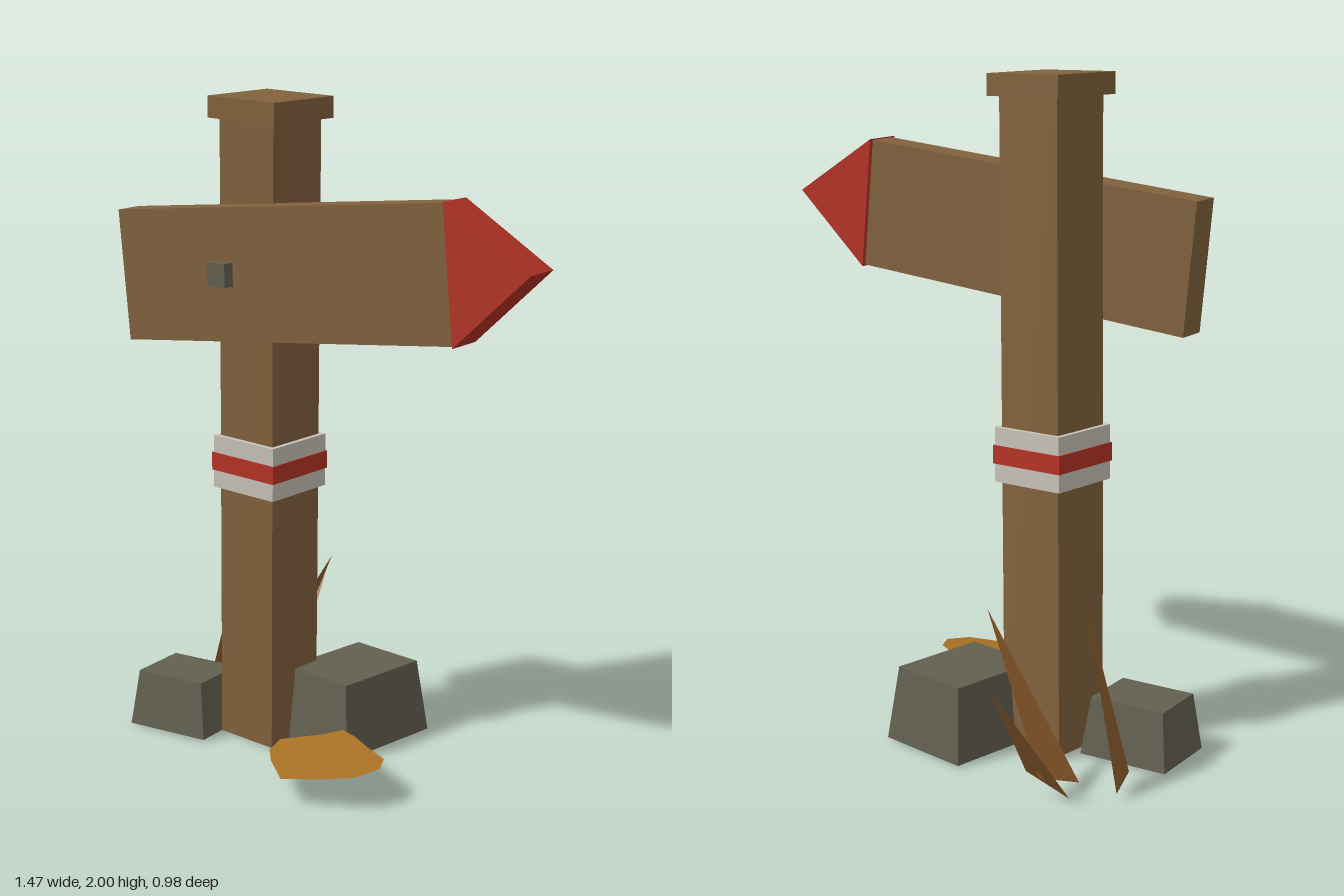
import * as THREE from 'three';

const mat = (name, color, side = THREE.FrontSide) => {
  const m = new THREE.MeshStandardMaterial({ color, side, flatShading: true });
  m.name = name;
  return m;
};

export function createModel() {
  const wood = mat('wood', 0x82623d);
  const red = mat('red paint', 0xb53325);
  const white = mat('white paint', 0xc8c3b9);
  const stone = mat('stone', 0x626050, THREE.DoubleSide);
  const leafGold = mat('leaf gold', 0xa87124, THREE.DoubleSide);
  const dryGrass = mat('dry grass', 0x8f5c2e, THREE.DoubleSide);

  const model = new THREE.Group();
  model.name = 'signpost';

  const add = (parent, name, geometry, material, x = 0, y = 0, z = 0) => {
    const mesh = new THREE.Mesh(geometry, material);
    mesh.name = name;
    mesh.position.set(x, y, z);
    parent.add(mesh);
    return mesh;
  };
  const box = (w, h, d) => new THREE.BoxGeometry(w, h, d);

  // Single flat surface fanned out from its first corner
  const fan = (points) => {
    const g = new THREE.BufferGeometry();
    g.setAttribute('position', new THREE.Float32BufferAttribute(points.flat(), 3));
    const index = [];
    for (let i = 1; i < points.length - 1; i++) index.push(0, i + 1, i);
    g.setIndex(index);
    g.computeVertexNormals();
    return g;
  };

  // Leaning post with cap and painted bands
  const post = new THREE.Group();
  post.name = 'post';
  post.position.set(-0.325, 0, 0.07);
  post.rotation.set(0.018, 0, -0.033);
  model.add(post);
  add(post, 'postShaft', box(0.21, 1.93, 0.21), wood, 0, 0.968, 0);
  add(post, 'postCap', box(0.26, 0.064, 0.26), wood, 0, 1.963, 0);
  [[0.835, white, 0.24], [0.89, red, 0.248], [0.944, white, 0.24]].forEach(([y, m, w], i) =>
    add(post, `paintBand${i + 1}`, box(w, 0.055, w), m, 0, y, 0));

  // Sign board, turned and tilted, with a pointed end
  const sign = new THREE.Group();
  sign.name = 'sign';
  sign.position.set(-0.091, 1.504, 0.222);
  sign.rotation.set(0, 0.108, 0.087, 'YXZ');
  model.add(sign);
  add(sign, 'signBoard', box(1.146, 0.393, 0.097), wood);
  const tip = new THREE.Shape([
    new THREE.Vector2(0.571, -0.2),
    new THREE.Vector2(0.829, 0),
    new THREE.Vector2(0.571, 0.2),
  ]);
  add(sign, 'arrowTip', new THREE.ExtrudeGeometry(tip, { depth: 0.125, bevelEnabled: false }), red, 0, 0, -0.0625);
  add(model, 'nail', box(0.07, 0.07, 0.075), stone, -0.285, 1.49, 0.286);

  // Tapered stones, open underneath
  const rock = (name, x, z, w, h, d, inset, turn) => {
    const g = box(w, h, d);
    const p = g.attributes.position;
    for (let i = 0; i < p.count; i++) {
      if (p.getY(i) > 0) {
        p.setX(i, p.getX(i) - Math.sign(p.getX(i)) * inset);
        p.setZ(i, p.getZ(i) - Math.sign(p.getZ(i)) * inset);
      }
    }
    // Leave out the six indices of the bottom face
    const index = Array.from(g.index.array).filter((_, i) => i < 18 || i >= 24);
    g.setIndex(index);
    g.clearGroups();
    g.computeVertexNormals();
    add(model, name, g, stone, x, h / 2 + 0.003, z).rotation.y = turn;
  };
  rock('smallStone', -0.575, 0.175, 0.282, 0.175, 0.235, 0.022, 0.14);
  rock('largeStone', -0.106, -0.08, 0.305, 0.227, 0.366, 0.025, -0.08);

  // Broad leaf lying on a gentle slope
  const outline = [
    [0.1, 0.29], [0.03, 0.13], [0.095, 0.152], [0.19, 0.2], [0.28, 0.24], [0.312, 0.3], [0.285, 0.38],
    [0.21, 0.43], [0.095, 0.486], [-0.02, 0.4], [-0.075, 0.345], [-0.1, 0.27], [0, 0.18], [0.03, 0.13],
  ];
  add(model, 'leaf', fan(outline.map(([x, z]) =>
    [x, 0.097 + 0.06 * (x - 0.095) - 0.085 * (z - 0.29), z])), leafGold);

  // Dry grass blades
  const blades = [
    [[-0.64, 0.01, -0.25], [-0.515, 0.07, -0.29], [-0.555, 0.375, -0.49]],
    [[-0.62, 0.03, -0.18], [-0.575, 0.07, -0.305], [-0.33, 0.5, -0.245]],
    [[-0.735, 0.02, -0.155], [-0.68, 0.03, -0.025], [-0.6, 0.565, -0.14]],
  ];
  blades.forEach((b, i) => add(model, `grassBlade${i + 1}`, fan(b), dryGrass));

  return model;
}
